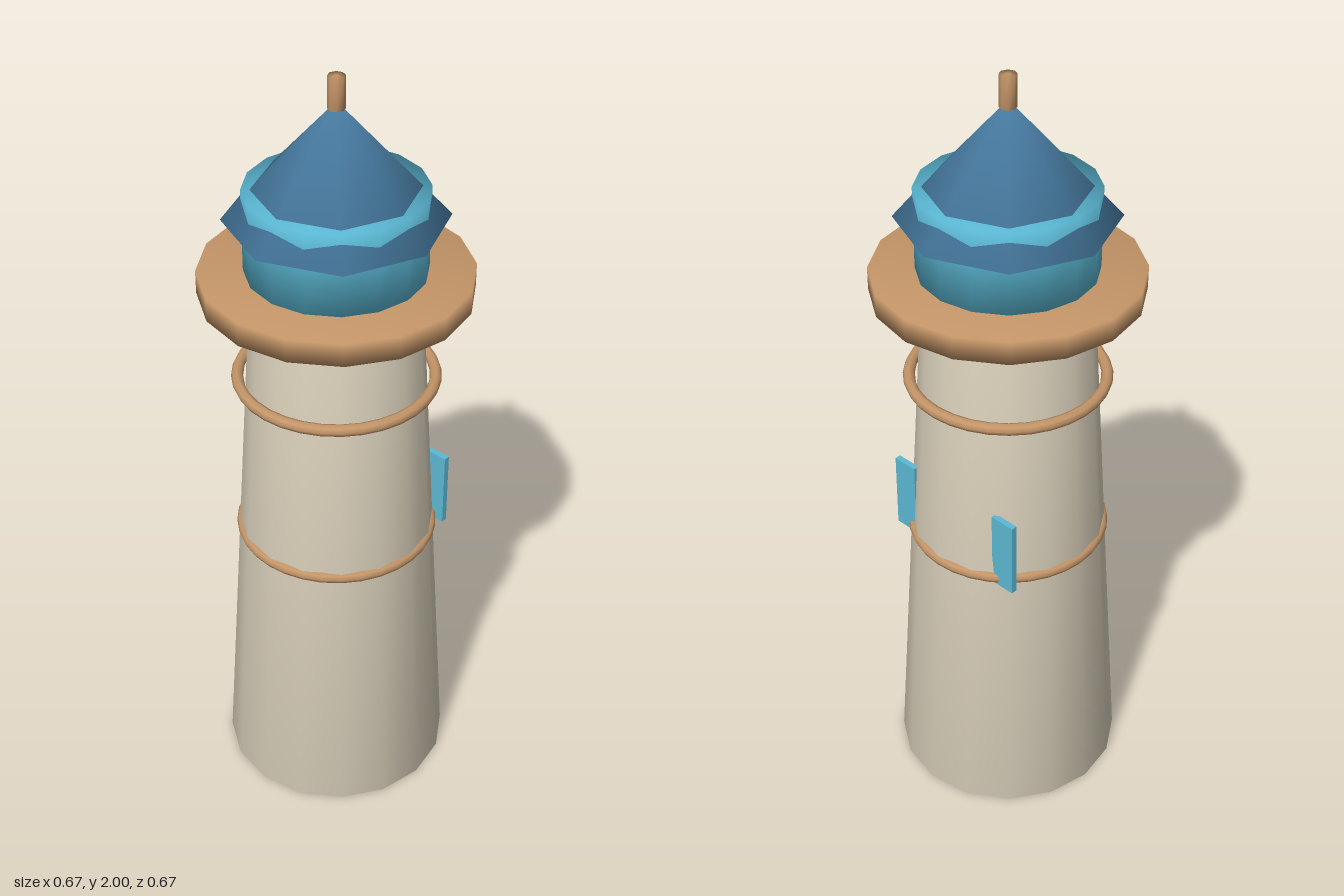
import * as THREE from 'three';
import { mergeVertices } from 'three/addons/utils/BufferGeometryUtils.js';

function material(name, color) {
  const m = new THREE.MeshStandardMaterial({ color });
  m.name = name;
  return m;
}

// Weld shared corners so shading runs smoothly over every edge
function soften(geometry) {
  geometry.deleteAttribute('normal');
  geometry.deleteAttribute('uv');
  const welded = mergeVertices(geometry);
  welded.computeVertexNormals();
  return welded;
}

export function createModel() {
  const cream = material('cream stone', 0xd9cfba);
  const wood = material('tan wood', 0xc49568);
  const blue = material('roof blue', 0x4a80a8);
  const aqua = material('aqua glass', 0x5bb8d4);

  const model = new THREE.Group();
  model.name = 'lighthouse';

  function add(name, geometry, mat, x = 0, y = 0, z = 0) {
    const mesh = new THREE.Mesh(geometry, mat);
    mesh.name = name;
    mesh.position.set(x, y, z);
    model.add(mesh);
    return mesh;
  }

  // Closed round part standing between two heights
  function round(name, mat, rTop, rBottom, y0, y1, sides) {
    const g = new THREE.CylinderGeometry(rTop, rBottom, y1 - y0, sides);
    return add(name, soften(g), mat, 0, (y0 + y1) / 2, 0);
  }

  round('tower', cream, 0.21, 0.3, 0, 1.437, 16);
  round('gallery', wood, 0.335, 0.335, 1.45, 1.51, 16);
  round('lampRoom', aqua, 0.222, 0.222, 1.51, 1.722, 16);
  round('roof', blue, 0, 0.271, 1.646, 1.938, 8);
  round('finial', wood, 0.021, 0.021, 1.92, 2, 8);

  // Hoops around the tower
  for (const [name, y] of [['lowerBand', 0.752], ['upperBand', 1.209]]) {
    const band = add(name, new THREE.TorusGeometry(0.246, 0.015, 8, 32), wood, 0, y, 0);
    band.rotation.x = Math.PI / 2;
  }

  // Shutters sunk into the back corners of the tower
  for (const side of [-1, 1]) {
    add(side > 0 ? 'leftShutter' : 'rightShutter',
      new THREE.BoxGeometry(0.07, 0.205, 0.016), aqua, side * 0.174, 0.838, -0.192);
  }

  return model;
}
